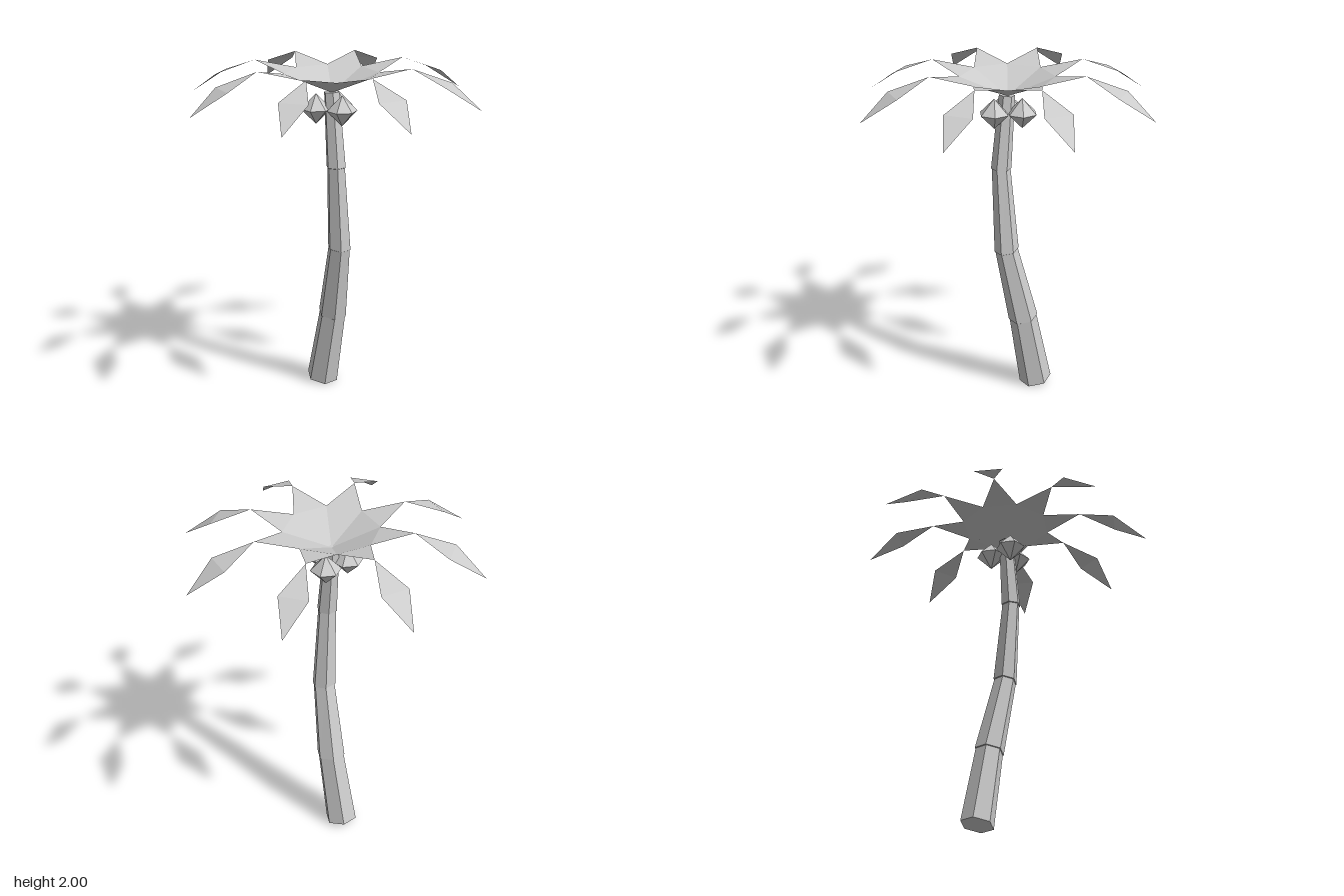
import * as THREE from 'three';

function makeGeometry(points, faces) {
  const g = new THREE.BufferGeometry();
  g.setAttribute('position', new THREE.Float32BufferAttribute(points.flat(), 3));
  g.setIndex(faces.flat());
  const flat = g.toNonIndexed();
  flat.computeVertexNormals();
  return flat;
}

// Six-sided tapered loft through tilted rings: [x, y, z, radius, tilt]
function loft(rings, sides = 6) {
  const points = [], faces = [];
  for (const [cx, cy, cz, r, tilt] of rings) {
    for (let i = 0; i < sides; i++) {
      const a = (i / sides) * Math.PI * 2;
      const dx = r * Math.sin(a);
      points.push([cx + dx, cy - tilt * dx, cz + r * Math.cos(a)]);
    }
  }
  for (let k = 0; k < rings.length - 1; k++) {
    for (let i = 0; i < sides; i++) {
      const a = k * sides + i, b = k * sides + (i + 1) % sides;
      faces.push([a, b, b + sides], [a, b + sides, a + sides]);
    }
  }
  const top = (rings.length - 1) * sides;
  for (let i = 1; i < sides - 1; i++) {
    faces.push([0, i + 1, i], [top, top + i, top + i + 1]);
  }
  return makeGeometry(points, faces);
}

// Arched frond made of two folded kites joined at a point
function frondGeometry() {
  const points = [
    [0, 1.84, 0],
    [0.245, 1.95, -0.102], [0.245, 1.95, 0.102],
    [0.457, 2.0, 0],
    [0.666, 1.92, -0.082], [0.666, 1.92, 0.082],
    [0.852, 1.79, 0],
  ];
  return makeGeometry(points, [[0, 2, 1], [2, 3, 1], [3, 5, 4], [5, 6, 4]]);
}

export function createModel() {
  const model = new THREE.Group();
  const grey = new THREE.MeshStandardMaterial({
    name: 'light grey', color: 0xcccccc, flatShading: true, side: THREE.DoubleSide,
  });
  const add = (name, geometry, parent = model) => {
    const mesh = new THREE.Mesh(geometry, grey);
    mesh.name = name;
    parent.add(mesh);
    return mesh;
  };

  // Curved trunk, with a slight step at each joint
  const joints = [
    [-0.165, 0.0175, -0.06, 0.095, 0.21],
    [-0.07, 0.47, -0.062, 0.083, 0.2],
    [0.029, 0.925, -0.032, 0.068, 0.18],
    [0.042, 1.42, 0.003, 0.056, 0.0],
    [0.002, 1.845, 0.003, 0.045, -0.08],
  ];
  const rings = [];
  joints.forEach((j, k) => {
    const [x, y, z, r, t] = j;
    if (k > 0 && k < joints.length - 1) rings.push([x, y - 0.003, z, r - 0.003, t], [x, y, z, r + 0.002, t]);
    else rings.push(j);
  });
  add('trunk', loft(rings));

  // Crown of eight fronds
  const crown = new THREE.Group();
  crown.name = 'crown';
  model.add(crown);
  const frond = frondGeometry();
  for (let i = 0; i < 8; i++) {
    add('frond', frond, crown).rotation.y = -0.2 + (i * Math.PI) / 4;
  }

  // Three faceted coconuts around the top of the trunk
  const nut = new THREE.SphereGeometry(0.087, 6, 2);
  for (let i = 0; i < 3; i++) {
    const a = (i * Math.PI * 2) / 3;
    add('coconut', nut).position.set(0.09 * Math.cos(a), 1.752, 0.09 * Math.sin(a));
  }
  return model;
}
